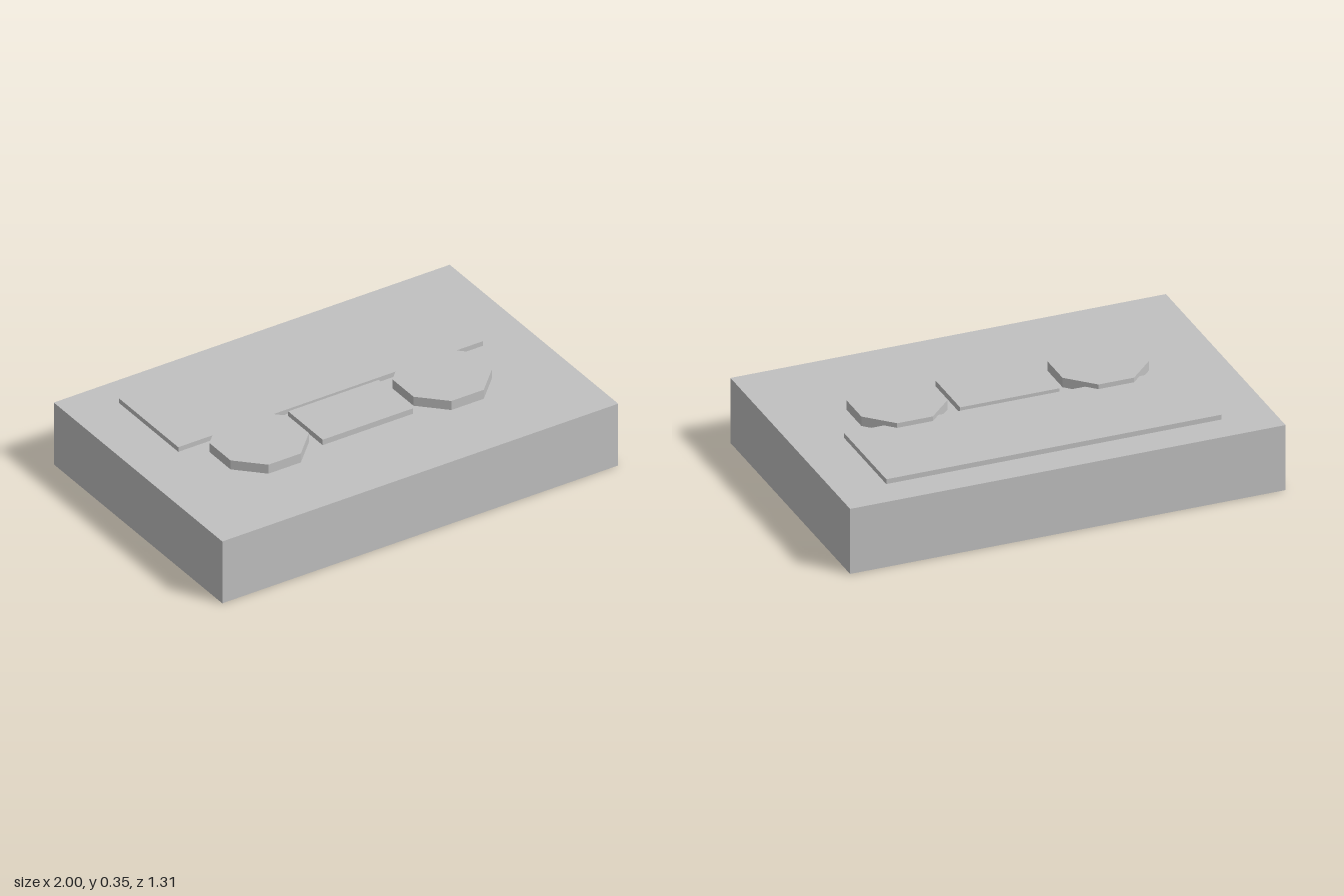
import * as THREE from 'three';

const BODY_TOP = 0.31;

export function createModel() {
  const model = new THREE.Group();
  const grey = new THREE.MeshStandardMaterial({ color: 0xc0c0c0 });
  grey.name = 'light grey';

  function add(name, geometry, x, y, z) {
    const mesh = new THREE.Mesh(geometry, grey);
    mesh.name = name;
    mesh.position.set(x, y, z);
    model.add(mesh);
  }

  // Thin raised panel resting on top of the body
  function addPanel(name, width, height, depth, x, z) {
    add(name, new THREE.BoxGeometry(width, height, depth), x, BODY_TOP + height / 2, z);
  }

  // Solid slab body
  add('body', new THREE.BoxGeometry(2, BODY_TOP, 1.31), 0, BODY_TOP / 2, 0);

  // Wide label at the back, small window between the reels
  addPanel('label', 1.54, 0.023, 0.462, 0, -0.272);
  addPanel('window', 0.457, 0.027, 0.268, 0, 0.114);

  // Pair of eight-sided reels with flat sides facing the axes
  const reelHeight = 0.045;
  const reelRadius = 0.198 / Math.cos(Math.PI / 8);
  for (const side of [-1, 1]) {
    const reel = new THREE.CylinderGeometry(
      reelRadius, reelRadius, reelHeight, 8, 1, false, Math.PI / 8
    ).toNonIndexed();
    reel.computeVertexNormals();
    add(side > 0 ? 'leftReel' : 'rightReel', reel, side * 0.462, BODY_TOP + reelHeight / 2, 0.114);
  }

  return model;
}
